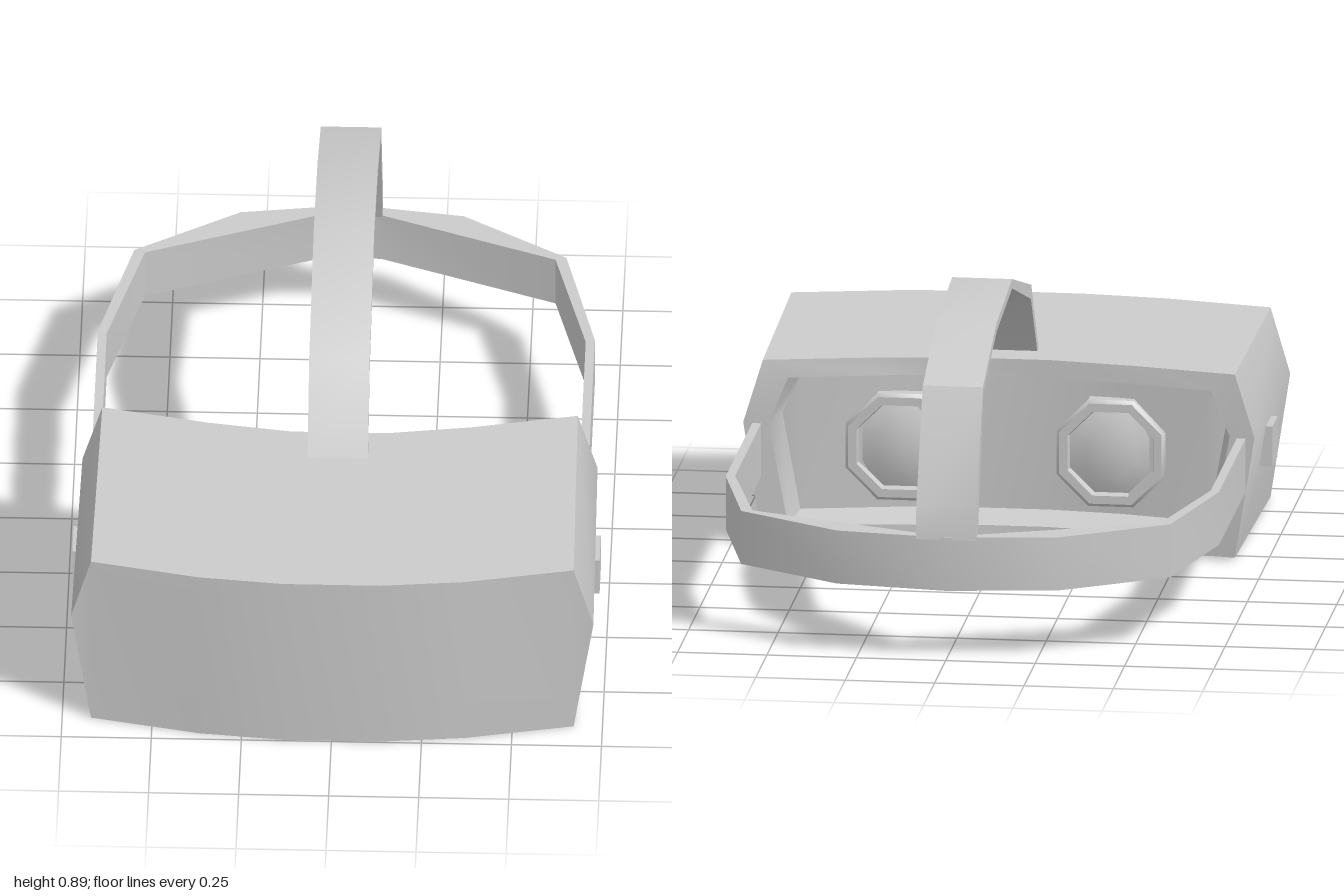
import * as THREE from 'three';
import { toCreasedNormals } from 'three/addons/utils/BufferGeometryUtils.js';

const CREASE = 0.7;
const material = new THREE.MeshStandardMaterial({ color: 0xcccccc });

function addMesh(parent, name, geometry) {
  const mesh = new THREE.Mesh(toCreasedNormals(geometry, CREASE), material);
  mesh.name = name;
  parent.add(mesh);
  return mesh;
}

// Six-sided cross-section: top row left to right, side corner, bottom row back, side corner
const COLUMNS = [-1, -0.55, -0.2, 0.2, 0.55, 1];
function section({ w, mid, top, bottom, z, bowTop, bowBottom, power }) {
  const at = (x, y, bow) => {
    const f = 1 - Math.pow(Math.abs(x) / w, power);
    return [x, y, z + bow * f];
  };
  const midY = 0.355;
  return [
    ...COLUMNS.map(c => at(c * w, top, bowTop)),
    [mid, midY, z],
    ...COLUMNS.map(c => at(-c * w, bottom, bowBottom)),
    [-mid, midY, z],
  ];
}

// Hollow-backed housing: front shell, back rim, recess walls and recess panel
function housingGeometry() {
  const rings = [
    section({ w: 0.67, mid: 0.725, top: 0.543, bottom: 0, z: 0.91, bowTop: 0.09, bowBottom: 0.09, power: 2 }),
    section({ w: 0.66, mid: 0.715, top: 0.535, bottom: 0.01, z: 0.19, bowTop: 0.105, bowBottom: 0.085, power: 1.5 }),
    section({ w: 0.59, mid: 0.645, top: 0.485, bottom: 0.06, z: 0.195, bowTop: 0.1, bowBottom: 0.085, power: 1.5 }),
    section({ w: 0.57, mid: 0.62, top: 0.465, bottom: 0.08, z: 0.31, bowTop: 0.08, bowBottom: 0.08, power: 2 }),
  ];
  const n = rings[0].length;
  const index = [];
  for (let r = 0; r < rings.length - 1; r++) {
    for (let i = 0; i < n; i++) {
      const j = (i + 1) % n, a = r * n, b = a + n;
      index.push(a + i, a + j, b + i, a + j, b + j, b + i);
    }
  }
  const cap = (base, flip) => {
    const tri = (a, b, c) => index.push(base + a, base + (flip ? c : b), base + (flip ? b : c));
    for (let i = 0; i < 5; i++) {
      tri(i, i + 1, 11 - i);
      tri(i, 11 - i, 12 - i);
    }
    tri(5, 6, 7);
    tri(12, 13, 0);
  };
  cap(0, true);
  cap((rings.length - 1) * n, false);
  const g = new THREE.BufferGeometry();
  g.setAttribute('position', new THREE.Float32BufferAttribute(rings.flat(2), 3));
  g.setIndex(index);
  return g;
}

function extrude(points, depth) {
  const shape = new THREE.Shape(points.map(p => new THREE.Vector2(...p)));
  return new THREE.ExtrudeGeometry(shape, { depth, bevelEnabled: false });
}

export function createModel() {
  const model = new THREE.Group();
  model.name = 'headset';
  addMesh(model, 'housing', housingGeometry());

  // Octagonal eyepieces with a domed lens inside a raised ring
  const lensProfile = [[0.165, 0], [0.165, 0.05], [0.155, 0.06], [0.13, 0.06], [0.125, 0.035], [0.075, 0.052], [0, 0.06]]
    .map(p => new THREE.Vector2(...p));
  // Side buttons
  for (const side of [1, -1]) {
    const label = side > 0 ? 'left' : 'right';
    const lens = new THREE.LatheGeometry(lensProfile, 8, Math.PI / 8);
    lens.rotateX(-Math.PI / 2).translate(side * 0.295, 0.26, 0.385);
    addMesh(model, label + 'Eyepiece', lens);

    const button = new THREE.BoxGeometry(0.05, 0.115, 0.115);
    button.translate(side * 0.707, 0.263, 0.513);
    addMesh(model, label + 'Button', button);
  }

  // Head band: half outline (x, -z) mirrored, thicker toward the back
  const outer = [[0.69, -0.22], [0.69, 0.4], [0.6, 0.775], [0.31, 0.957]];
  const inner = [[0.08, 0.955], [0.57, 0.765], [0.665, 0.39], [0.665, -0.22]];
  const mirror = list => list.map(([x, z]) => [-x, z]).reverse();
  const band = extrude([...outer, [0, 1], ...mirror(outer), ...mirror(inner), ...inner], 0.152);
  band.rotateX(-Math.PI / 2).translate(0, 0.2, 0);
  addMesh(model, 'headBand', band);

  // Top strap: side profile (z, y) from the housing over to the band
  const strap = extrude([
    [0.41, 0.533], [0.245, 0.76], [-0.185, 0.887], [-0.535, 0.85], [-0.84, 0.745], [-0.985, 0.44], [-0.998, 0.345],
    [-0.955, 0.345], [-0.825, 0.725], [-0.53, 0.825], [-0.185, 0.86], [0.235, 0.722], [0.38, 0.533],
  ], 0.168);
  strap.rotateY(-Math.PI / 2).translate(0.084, 0, 0);
  addMesh(model, 'topStrap', strap);

  return model;
}
